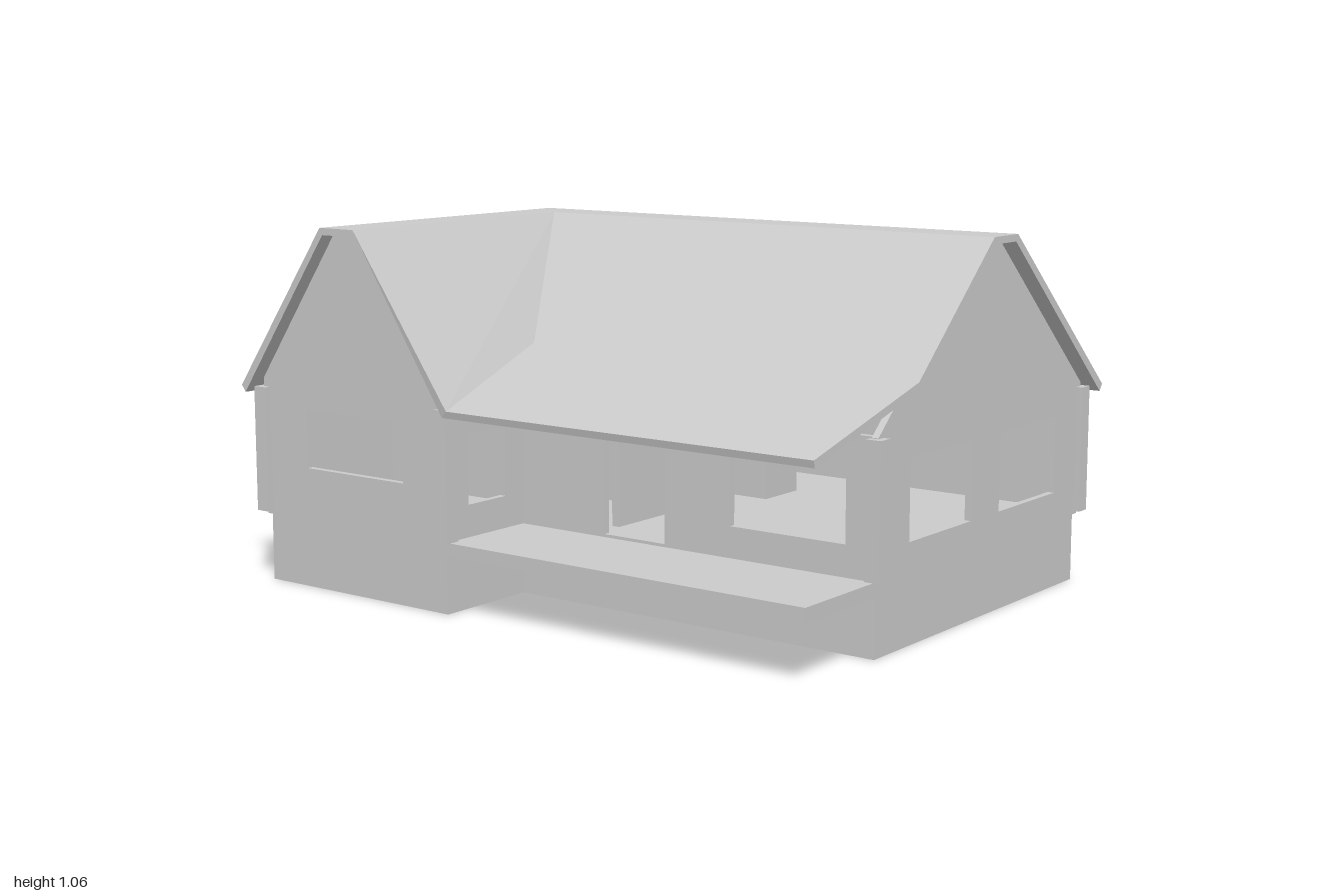
import * as THREE from 'three';

const BASE = 0.21, EAVE = 0.58, T = 0.02;
const grey = new THREE.MeshStandardMaterial({ color: 0xcccccc, flatShading: true });

function add(parent, name, geometry) {
  const mesh = new THREE.Mesh(geometry, grey);
  mesh.name = name;
  parent.add(mesh);
  return mesh;
}

// Box given by its limits on each axis
function box(parent, name, x0, x1, y0, y1, z0, z1) {
  const mesh = add(parent, name, new THREE.BoxGeometry(Math.abs(x1 - x0), y1 - y0, Math.abs(z1 - z0)));
  mesh.position.set((x0 + x1) / 2, (y0 + y1) / 2, (z0 + z1) / 2);
  return mesh;
}

const shapeOf = (pts) => new THREE.Shape(pts.map(([x, y]) => new THREE.Vector2(x, y)));
const rect = (a, b, c, d) => [[a, c], [b, c], [b, d], [a, d]];

function extrude(pts, holes, depth) {
  const shape = shapeOf(pts);
  holes.forEach((h) => shape.holes.push(shapeOf(h)));
  return new THREE.ExtrudeGeometry(shape, { depth, bevelEnabled: false });
}

// Wall facing +z (or -z), outline in x and y
function wallZ(parent, name, z, pts, holes = []) {
  add(parent, name, extrude(pts, holes, T)).position.z = z;
}

// Wall facing sideways, outline in -z and y
function wallX(parent, name, x, pts, holes = []) {
  const mesh = add(parent, name, extrude(pts, holes, T));
  mesh.rotation.y = Math.PI / 2;
  mesh.position.x = x;
}

// L-shaped plan grown by o, in x and -z
const plan = (o) => [
  [-0.945 - o, -0.71 - o], [-0.245 + o, -0.71 - o], [-0.245 + o, -0.39 - o],
  [0.945 + o, -0.39 - o], [0.945 + o, 0.71 + o], [-0.945 - o, 0.71 + o],
];

function roofGeometry() {
  // top x, y, z, then underside x, z
  const v = [
    [-1, 0.585, -0.77, -0.985, -0.755], [1, 0.585, -0.77, 1, -0.755],
    [-0.66, 1.06, -0.23, -0.65, -0.22], [1, 1.06, -0.23, 1, -0.22],
    [-0.53, 1.06, -0.10, -0.54, -0.11], [1, 1.06, -0.10, 1, -0.11],
    [-0.29, 0.715, 0.28, -0.30, 0.27], [1, 0.715, 0.28, 1, 0.27],
    [-0.19, 0.585, 0.765, -0.21, 0.76], [1, 0.585, 0.765, 1, 0.76],
    [-1, 0.585, 0.765, -0.985, 0.765],
    [-0.66, 1.06, 0.765, -0.65, 0.765], [-0.53, 1.06, 0.765, -0.54, 0.765],
  ];
  const top = v.map(([x, y, z]) => [x, y, z]);
  const low = v.map(([, y, , x, z]) => [x, y - T, z]);
  const faces = [
    [0, 2, 3, 1], [2, 4, 5, 3], [4, 6, 7, 5], [6, 8, 9, 7],
    [0, 10, 11, 2], [2, 11, 12, 4], [4, 12, 8, 6],
  ];
  const rim = [0, 10, 11, 12, 8, 9, 7, 5, 3, 1];
  const pos = [];
  const quad = (a, b, c, d) => pos.push(...a, ...b, ...c, ...a, ...c, ...d);
  faces.forEach((f) => {
    quad(...f.map((i) => top[i]));
    quad(...[...f].reverse().map((i) => low[i]));
  });
  rim.forEach((a, i) => {
    const b = rim[(i + 1) % rim.length];
    quad(top[a], low[a], low[b], top[b]);
  });
  const g = new THREE.BufferGeometry();
  g.setAttribute('position', new THREE.Float32BufferAttribute(pos, 3));
  g.computeVertexNormals();
  return g;
}

export function createModel() {
  const house = new THREE.Group();
  house.name = 'house';

  // Hollow foundation, floor and porch deck
  add(house, 'foundation', extrude(plan(0), [plan(-0.006)], 0.205)).rotation.x = -Math.PI / 2;
  const floor = add(house, 'floor', extrude(plan(0.009), [], 0.012));
  floor.rotation.x = -Math.PI / 2;
  floor.position.y = 0.2;
  box(house, 'porchDeck', -0.245, 0.95, 0.168, 0.207, 0.39, 0.72);

  // Outer walls with window and door openings
  const walls = new THREE.Group();
  walls.name = 'walls';
  house.add(walls);
  wallZ(walls, 'frontGableWall', 0.70,
    [[-0.955, BASE], [-0.235, BASE], [-0.235, 0.605], [-0.54, 1.04], [-0.65, 1.04], [-0.955, 0.605]],
    [rect(-0.78, -0.40, 0.355, 0.525)]);
  wallZ(walls, 'porchWall', 0.38, rect(-0.255, 0.935, BASE, 0.585),
    [rect(0.065, 0.275, 0.216, 0.555), rect(0.495, 0.86, 0.295, 0.535)]);
  wallZ(walls, 'backWall', -0.72, rect(-0.935, 0.935, BASE, 0.59));
  wallX(walls, 'rightGableWall', 0.935,
    [[-0.40, BASE], [0.72, BASE], [0.72, 0.592], [0.215, 1.04], [0.105, 1.04], [-0.40, 0.582]],
    [rect(-0.24, 0.085, 0.285, 0.51), rect(0.24, 0.57, 0.285, 0.51)]);
  wallX(walls, 'leftWall', -0.955, rect(-0.70, 0.72, BASE, 0.59));
  wallX(walls, 'wingSideWall', -0.255, rect(-0.70, -0.40, BASE, 0.585),
    [rect(-0.63, -0.475, 0.30, 0.50)]);

  // Pairs of boards on the outer corners
  [[-0.955, -0.72, -1, -1], [0.955, -0.72, 1, -1], [-0.955, 0.72, -1, 1],
    [-0.235, 0.72, 1, 1], [0.955, 0.40, 1, 1]].forEach(([x, z, sx, sz]) => {
    const corner = new THREE.Group();
    corner.name = 'cornerTrim';
    box(corner, 'sideBoard', x, x + sx * T, BASE, EAVE, z - sz * 0.025, z + sz * T);
    box(corner, 'faceBoard', x - sx * 0.025, x, BASE, EAVE, z, z + sz * T);
    house.add(corner);
  });

  // Partitions: x0, x1, z0, z1
  [[0.11, 0.14, -0.45, -0.285], [-0.05, 0.11, -0.32, -0.285], [0.005, 0.03, -0.015, 0.29],
    [-0.32, 0.005, -0.015, 0.01], [-0.345, -0.32, -0.19, 0.30],
    [-0.935, -0.345, 0.19, 0.215], [-0.935, -0.75, -0.14, -0.115]].forEach(([x0, x1, z0, z1]) =>
    box(house, 'partition', x0, x1, 0.198, EAVE, z0, z1));

  // L-shaped roof with flat ridges, sweeping out over the porch
  add(house, 'roof', roofGeometry());
  return house;
}
